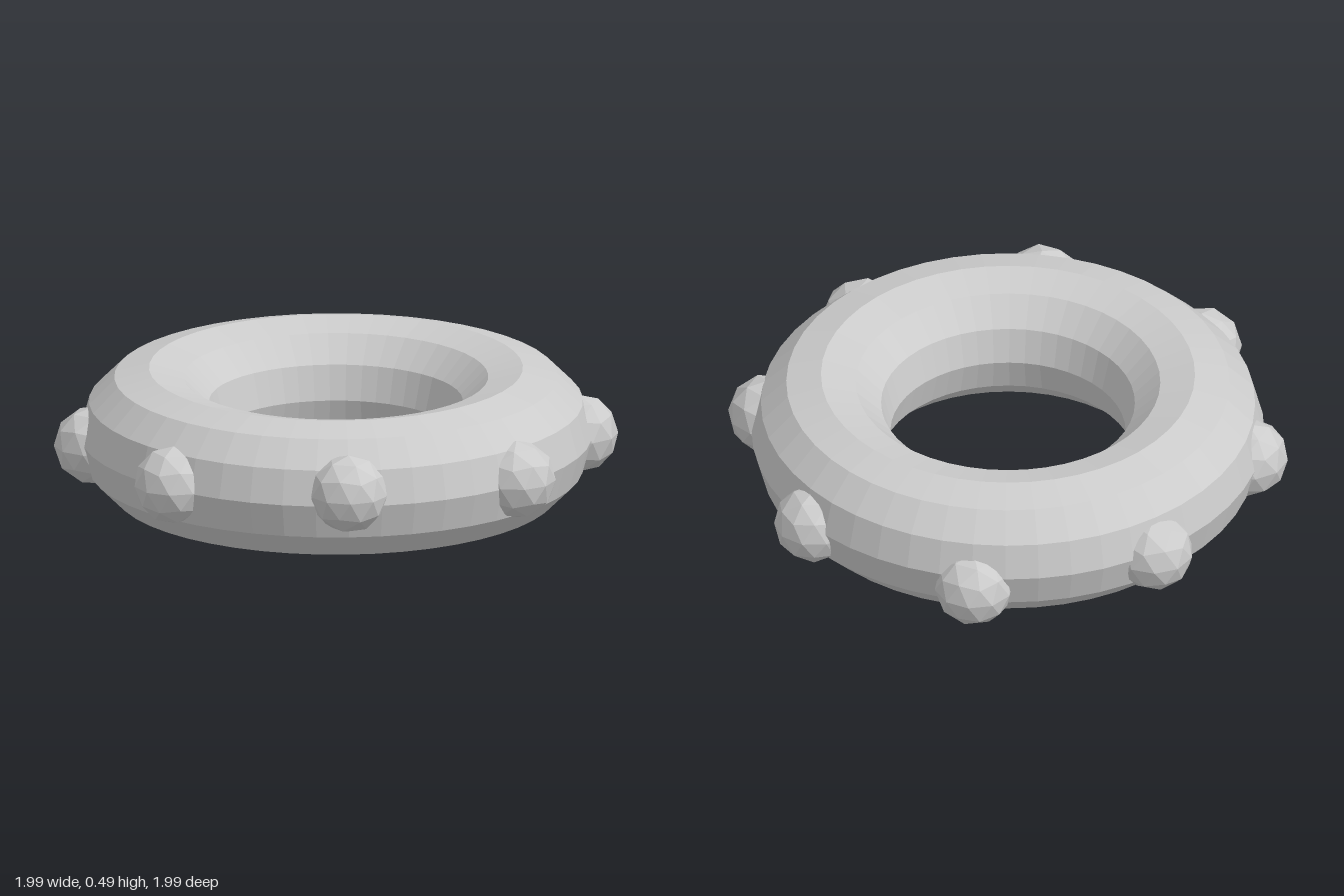
import * as THREE from 'three';

export function createModel() {
  const group = new THREE.Group();
  const material = new THREE.MeshStandardMaterial({ color: 0xcccccc, flatShading: true });

  // Ring lying flat, with a twelve-sided section
  const ringGeometry = new THREE.TorusGeometry(0.66, 0.245, 12, 48);
  ringGeometry.rotateX(-Math.PI / 2);
  ringGeometry.translate(0, 0.245, 0);
  const ring = new THREE.Mesh(ringGeometry, material);
  ring.name = 'ring';
  group.add(ring);

  // Faceted knob, turned so that one corner points straight up
  const knobGeometry = new THREE.IcosahedronGeometry(0.14, 1);
  knobGeometry.rotateZ(Math.atan(2 / (1 + Math.sqrt(5))));
  knobGeometry.rotateY(Math.PI);

  // Eight knobs around the rim at slightly uneven heights, from +x towards +z
  const heights = [0.25, 0.28, 0.248, 0.218, 0.213, 0.178, 0.213, 0.236];
  heights.forEach((y, i) => {
    const angle = (i * Math.PI) / 4;
    const knob = new THREE.Mesh(knobGeometry, material);
    knob.name = `knob${i + 1}`;
    knob.position.set(0.857 * Math.cos(angle), y, 0.857 * Math.sin(angle));
    knob.rotation.y = Math.PI / 2 - angle;
    group.add(knob);
  });

  return group;
}
